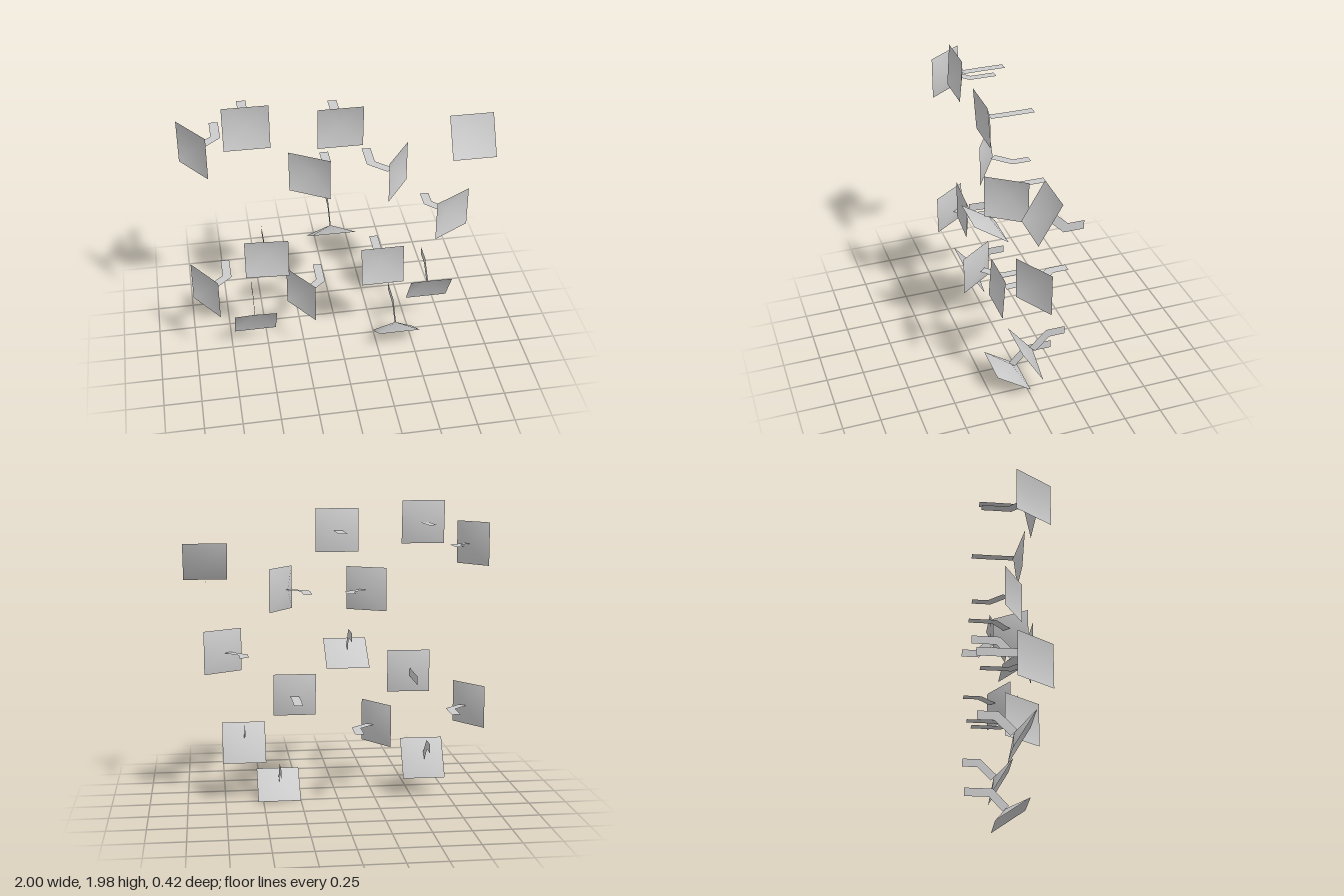
import * as THREE from 'three';
import { mergeVertices } from 'three/addons/utils/BufferGeometryUtils.js';

const SIDE = 0.285, DEPTH = 0.055, HALF = 0.029, BACK = -0.21;

// Tilt kinds: plate angle, plate centre z, stem offset and z of the stem's bend
const KINDS = {
  straight: { tilt: 0.07, z: 0.13, rise: 0, bend: -0.03 },
  medium: { tilt: 0.525, z: 0.055, rise: 0.13, bend: -0.095 },
  steep: { tilt: 0.955, z: 0.0975, rise: 0.152, bend: -0.033 },
};

// Roll that turns a downward-tilted panel toward each direction
const ROLL = { down: 0, up: Math.PI, right: -Math.PI / 2, left: Math.PI / 2 };

// x, y, kind, direction the panel leans toward
const PANELS = [
  [-0.917, 1.702, 'steep', 'right'],
  [-0.585, 1.842, 'straight', 'up'],
  [-0.01, 1.792, 'straight', 'down'],
  [0.857, 1.6, 'medium', 'up'],
  [-0.195, 1.412, 'medium', 'right'],
  [0.367, 1.412, 'steep', 'left'],
  [0.752, 1.012, 'medium', 'left'],
  [-0.067, 0.977, 'steep', 'down'],
  [-0.495, 0.84, 'straight', 'right'],
  [0.277, 0.692, 'straight', 'up'],
  [-0.907, 0.607, 'steep', 'right'],
  [-0.272, 0.492, 'steep', 'right'],
  [0.622, 0.392, 'medium', 'down'],
  [-0.585, 0.25, 'medium', 'down'],
  [0.392, 0.082, 'steep', 'down'],
];

// Shallow square dish, open to the front, with smooth normals
function dishGeometry() {
  let g = new THREE.ConeGeometry(SIDE / Math.SQRT2, DEPTH, 4, 1, true);
  g.rotateY(Math.PI / 4).rotateX(-Math.PI / 2).translate(0, 0, -DEPTH / 2);
  g.deleteAttribute('normal');
  g.deleteAttribute('uv');
  g = mergeVertices(g, 1e-4);
  g.computeVertexNormals();
  return g;
}

// Flat ribbon from the dish's apex to a mitred bend, then straight back
function stemGeometry({ tilt, z, rise, bend }) {
  const az = z - DEPTH * Math.cos(tilt), ay = DEPTH * Math.sin(tilt);
  const angle = Math.atan2(rise - ay, az - bend);
  const miter = HALF * Math.tan(angle / 2);
  const ez = HALF * Math.sin(angle), ey = HALF * Math.cos(angle);
  const shape = new THREE.Shape([
    [az + ez, ay + ey], [bend + miter, rise + HALF], [BACK, rise + HALF],
    [BACK, rise - HALF], [bend - miter, rise - HALF], [az - ez, ay - ey],
  ].map(([a, b]) => new THREE.Vector2(a, b)));
  return new THREE.ShapeGeometry(shape).rotateY(-Math.PI / 2);
}

export function createModel() {
  const model = new THREE.Group();
  model.name = 'wallPanels';
  const material = new THREE.MeshStandardMaterial({ color: 0xcccccc, side: THREE.DoubleSide });
  const dish = dishGeometry();
  const stems = {};
  for (const k in KINDS) stems[k] = stemGeometry(KINDS[k]);

  for (const [x, y, kind, dir] of PANELS) {
    const panel = new THREE.Group();
    panel.name = 'panel';
    panel.position.set(x, y, 0);
    panel.rotation.z = ROLL[dir];

    const plate = new THREE.Mesh(dish, material);
    plate.name = 'plate';
    plate.position.z = KINDS[kind].z;
    plate.rotation.x = KINDS[kind].tilt;

    // Straight ribbons lie across the lean, bent ones along it
    const stem = new THREE.Mesh(stems[kind], material);
    stem.name = 'stem';
    if (kind === 'straight') stem.rotation.z = Math.PI / 2;

    panel.add(plate, stem);
    model.add(panel);
  }
  return model;
}
